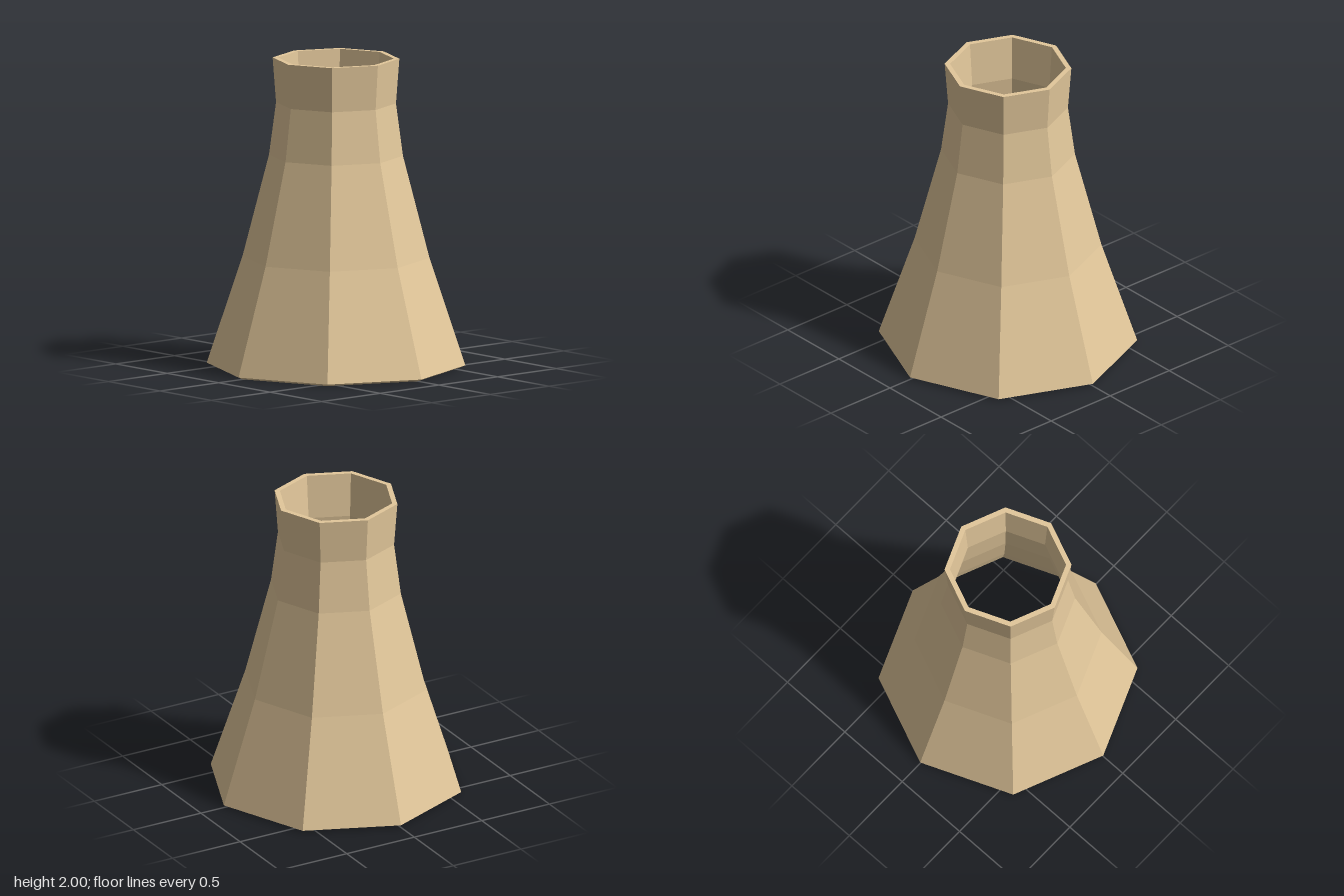
import * as THREE from 'three';

export function createModel() {
  const group = new THREE.Group();
  group.name = 'coolingTower';

  // Wall cross-section: up the outside, over the rim, down the inside
  const outer = [[0.83, 0.015], [0.6, 0.71], [0.43, 1.37], [0.385, 1.71], [0.407, 2]];
  const inner = [[0.372, 2], [0.35, 1.71], [0.395, 1.36], [0.565, 0.7], [0.796, 0]];
  const profile = [inner[inner.length - 1], ...outer, ...inner]
    .map(([r, y]) => new THREE.Vector2(r, y));

  // Eight-sided hollow shell, open at both ends
  const geometry = new THREE.LatheGeometry(profile, 8).toNonIndexed();
  geometry.computeVertexNormals();
  const shell = new THREE.Mesh(
    geometry,
    new THREE.MeshStandardMaterial({ color: 0xe3c89b, flatShading: true })
  );
  shell.name = 'towerShell';
  group.add(shell);

  return group;
}
